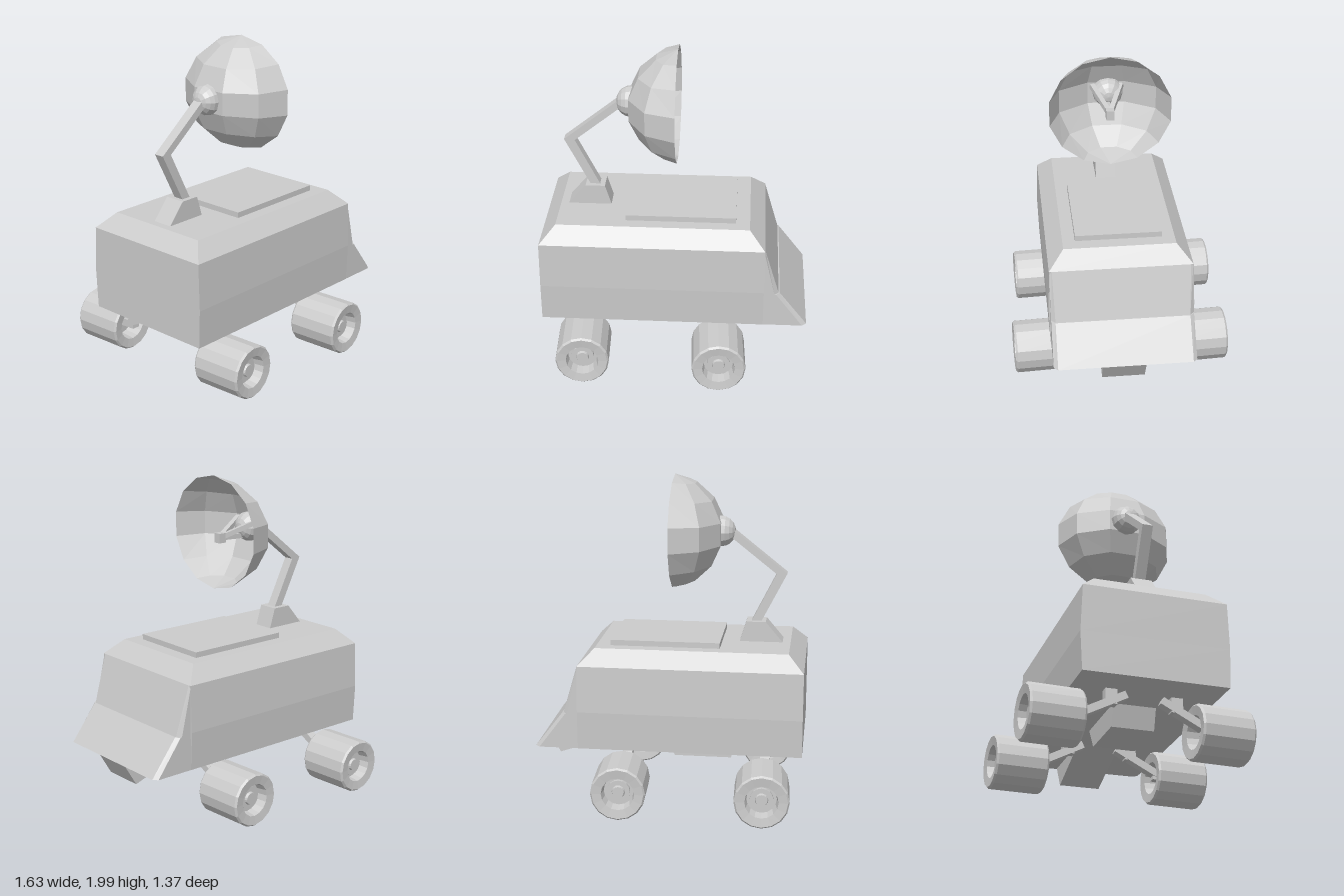
import * as THREE from 'three';

const mat = new THREE.MeshStandardMaterial({ color: 0xcccccc, flatShading: true });
const thin = new THREE.MeshStandardMaterial({ color: 0xcccccc, flatShading: true, side: THREE.DoubleSide });
const V = (x, y, z) => new THREE.Vector3(x, y, z);
const MID = 0.023; // centre line of the body in z

export function createModel() {
  const root = new THREE.Group();

  function add(name, geometry, parent = root, material = mat) {
    const mesh = new THREE.Mesh(geometry, material);
    mesh.name = name;
    parent.add(mesh);
    return mesh;
  }

  // Closed solid through horizontal rings [y, [[x, z], ...]], bottom to top
  function loft(name, rings) {
    const n = rings[0][1].length, pos = [], idx = [];
    for (const [y, pts] of rings) for (const [x, z] of pts) pos.push(x, y, z);
    for (let r = 0; r < rings.length - 1; r++) {
      for (let j = 0; j < n; j++) {
        const a = r * n + j, b = r * n + (j + 1) % n;
        idx.push(a, b, b + n, a, b + n, a + n);
      }
    }
    const top = (rings.length - 1) * n;
    for (let j = 1; j < n - 1; j++) idx.push(0, j + 1, j, top, top + j, top + j + 1);
    const g = new THREE.BufferGeometry();
    g.setAttribute('position', new THREE.Float32BufferAttribute(pos, 3));
    g.setIndex(idx);
    const flat = g.toNonIndexed();
    flat.computeVertexNormals();
    return add(name, flat);
  }

  // Side outline in x, y given a width in z
  function slab(name, pts, width, z = MID) {
    const shape = new THREE.Shape(pts.map(([x, y]) => new THREE.Vector2(x, y)));
    const g = new THREE.ExtrudeGeometry(shape, { depth: width, bevelEnabled: false });
    return add(name, g.translate(0, 0, z - width / 2));
  }

  // Square bar between two points
  function bar(name, a, b, w, h = w) {
    const m = add(name, new THREE.BoxGeometry(w, h, a.distanceTo(b)));
    m.position.copy(a).add(b).multiplyScalar(0.5);
    m.lookAt(b);
    return m;
  }

  // Body shell with bevelled roof and slightly bulging sides
  const rect = (x0, x1, z0, z1) => [[x1, z1], [x1, z0], [x0, z0], [x0, z1]];
  loft('body', [
    [0.365, rect(-0.82, 0.545, -0.408, 0.455)],
    [0.6, rect(-0.82, 0.545, -0.42, 0.463)],
    [0.885, rect(-0.82, 0.545, -0.408, 0.455)],
    [0.98, rect(-0.725, 0.45, -0.317, 0.362)],
  ]);

  // Sloping front: chamfered windshield above a longer nose
  const prow = (side, face, half, inset) => [
    [side, MID + half], [face, MID + half - inset], [face, MID - half + inset],
    [side, MID - half], [0.5, MID - half], [0.5, MID + half],
  ];
  loft('windshield', [
    [0.585, prow(0.61, 0.635, 0.43, 0.025)],
    [0.885, prow(0.54, 0.546, 0.43, 0.015)],
  ]);
  loft('nose', [
    [0.365, prow(0.785, 0.812, 0.43, 0.025)],
    [0.585, prow(0.62, 0.642, 0.43, 0.025)],
  ]);

  // Underside boxes
  slab('belly', [[-0.41, 0.37], [-0.37, 0.235], [-0.015, 0.235], [0.07, 0.37]], 0.26, 0.03);
  slab('frontWedge', [[0.3, 0.368], [0.72, 0.225], [0.805, 0.368]], 0.26, 0.03);

  // Roof hatch
  add('roofPanel', new THREE.BoxGeometry(0.67, 0.04, 0.525)).position.set(0.03, 0.994, MID);

  // Wheels with recessed hubs, and their suspension
  const wheelProfile = [
    [0, -0.06], [0.04, -0.06], [0.09, -0.06], [0.1, -0.155], [0.155, -0.162], [0.165, -0.15],
    [0.165, 0.15], [0.155, 0.162], [0.1, 0.155], [0.09, 0.09], [0.07, 0.09],
    [0.07, 0.11], [0.04, 0.11], [0.035, 0.125], [0, 0.125],
  ].map(([r, h]) => new THREE.Vector2(r, h));
  const wheelGeometry = new THREE.LatheGeometry(wheelProfile, 16);
  const wheels = [
    ['rearLeftSide', -0.565, 0.48], ['frontLeftSide', 0.275, 0.515],
    ['rearRightSide', -0.59, -0.52], ['frontRightSide', 0.268, -0.5],
  ];
  for (const [name, x, z] of wheels) {
    const s = Math.sign(z);
    const wheel = new THREE.Group();
    wheel.name = name + 'Wheel';
    wheel.position.set(x, 0.176, z);
    wheel.rotation.y = 0.05;
    add('wheel', wheelGeometry, wheel).rotation.x = s * Math.PI / 2;
    root.add(wheel);
    const at = (y, d) => V(x, y, MID + s * d);
    bar(name + 'Arm', at(0.34, 0.11), at(0.2, 0.38), 0.06, 0.045);
    bar(name + 'Axle', at(0.19, 0.35), V(x, 0.176, z), 0.05);
    add(name + 'Post', new THREE.BoxGeometry(0.055, 0.1, 0.07)).position.copy(at(0.325, 0.2));
  }

  // Antenna mount and bent mast
  slab('mastBase', [[-0.68, 0.975], [-0.41, 0.975], [-0.45, 1.105], [-0.57, 1.105]], 0.13);
  slab('mast', [[-0.54, 1.1], [-0.48, 1.1], [-0.63, 1.4], [-0.33, 1.638],
    [-0.33, 1.695], [-0.695, 1.405]], 0.065, 0.025);
  const joint = add('dishJoint', new THREE.SphereGeometry(1, 12, 10).rotateZ(Math.PI / 2));
  joint.scale.set(0.09, 0.095, 0.095);
  joint.position.set(-0.285, 1.655, 0.023);

  // Dish: half sphere, drawn in vertically towards its back
  const dishGeometry = new THREE.SphereGeometry(1, 5, 7, -Math.PI / 2, Math.PI);
  const p = dishGeometry.attributes.position;
  for (let i = 0; i < p.count; i++) p.setY(i, p.getY(i) * (1 - 0.13 * Math.abs(p.getX(i))));
  dishGeometry.scale(0.313, 0.352, 0.377);
  dishGeometry.computeVertexNormals();
  add('dish', dishGeometry, root, thin).position.set(0, 1.648, 0.033);

  // Receiver held on three struts inside the dish
  const tip = V(-0.05, 1.61, 0.03);
  const feet = [V(-0.28, 1.7, 0.12), V(-0.28, 1.7, -0.06), V(-0.28, 1.6, 0.03)];
  for (const foot of feet) bar('receiverStrut', foot, tip, 0.03);
  add('receiver', new THREE.BoxGeometry(0.05, 0.06, 0.05)).position.copy(tip);

  return root;
}
